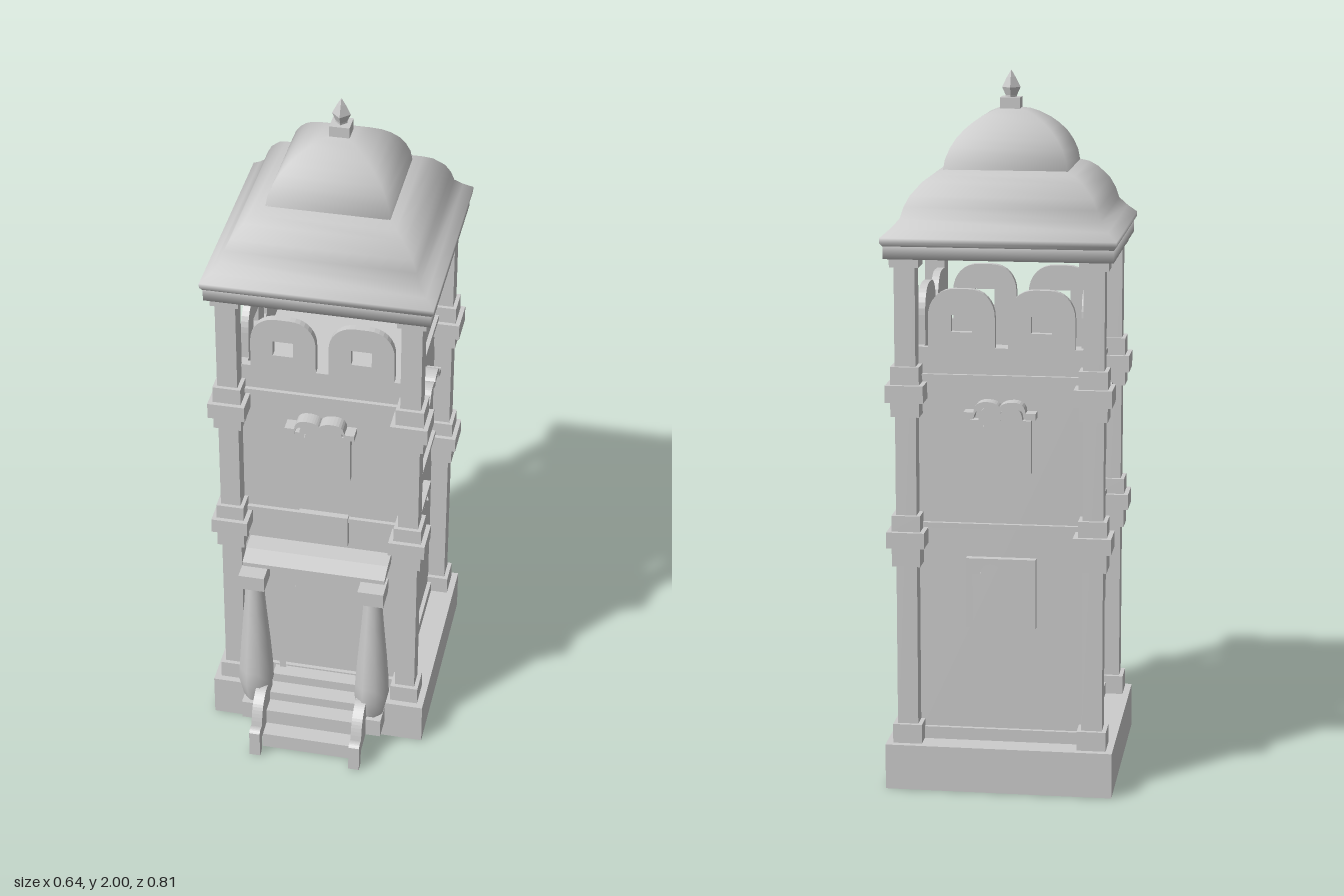
import * as THREE from 'three';

const mat = new THREE.MeshStandardMaterial({ color: 0xcccccc });
const flat = new THREE.MeshStandardMaterial({ color: 0xcccccc, flatShading: true });
const open = new THREE.MeshStandardMaterial({ color: 0xcccccc, side: THREE.DoubleSide });
const V = (x, y) => new THREE.Vector2(x, y);

function add(parent, name, geo, material = mat) {
  const m = new THREE.Mesh(geo, material);
  m.name = name;
  parent.add(m);
  return m;
}

// box given by its centre x, z, half sizes and y range
function block(parent, name, x, z, hx, hz, y0, y1) {
  const m = add(parent, name, new THREE.BoxGeometry(hx * 2, y1 - y0, hz * 2));
  m.position.set(x, (y0 + y1) / 2, z);
  return m;
}

const extrude = (shape, depth) =>
  new THREE.ExtrudeGeometry(shape, { depth, bevelEnabled: false, curveSegments: 8 });

// double-humped arch line from -w to w, springing at s, rising to t
function archLine(w, s, t) {
  const p = new THREE.Path();
  const dip = s + (t - s) * 0.55;
  p.moveTo(-w, s);
  p.lineTo(-0.72 * w, s);
  p.quadraticCurveTo(-0.7 * w, t, -0.38 * w, t);
  p.quadraticCurveTo(-0.1 * w, t, 0, dip);
  p.quadraticCurveTo(0.1 * w, t, 0.38 * w, t);
  p.quadraticCurveTo(0.7 * w, t, 0.72 * w, s);
  p.lineTo(w, s);
  return p.getPoints(6);
}
const archOutline = (w, b, s, t) => [V(-w, b), ...archLine(w, s, t), V(w, b)];
const rect = (w, b, t) => [V(-w, b), V(-w, t), V(w, t), V(w, b)];

// frame standing proud of a wall at z
function frame(parent, name, outer, inner, z, depth) {
  const s = new THREE.Shape(outer);
  s.holes.push(new THREE.Path(inner));
  add(parent, name, extrude(s, depth)).position.z = z;
}

// square-plan lathe from [half width, y] pairs
function squareLathe(parent, name, pts) {
  const g = new THREE.LatheGeometry(pts.map(([r, y]) => V(r * Math.SQRT2, y)), 4);
  return add(parent, name, g.rotateY(Math.PI / 4), open);
}

// parapet panel with two round-topped, pierced merlons
function parapetShape() {
  const s = new THREE.Shape();
  s.moveTo(-0.238, 1.17);
  s.lineTo(0.238, 1.17);
  s.lineTo(0.238, 1.257);
  for (const c of [0.111, -0.111]) {
    s.lineTo(c + 0.093, 1.257);
    s.lineTo(c + 0.093, 1.34);
    s.bezierCurveTo(c + 0.093, 1.39, c + 0.06, 1.42, c + 0.02, 1.42);
    s.lineTo(c - 0.02, 1.42);
    s.bezierCurveTo(c - 0.06, 1.42, c - 0.093, 1.39, c - 0.093, 1.34);
    s.lineTo(c - 0.093, 1.257);
    const h = rect(0.029, 1.3, 1.347).map(p => V(p.x + c, p.y));
    s.holes.push(new THREE.Path(h));
  }
  s.lineTo(-0.238, 1.257);
  return s;
}

function buildTower() {
  const tower = new THREE.Group();
  tower.name = 'tower';

  // hollow base, open underneath
  const base = new THREE.BoxGeometry(0.64, 0.13, 0.64);
  const idx = Array.from(base.index.array);
  idx.splice(18, 6);
  base.setIndex(idx);
  base.clearGroups();
  add(tower, 'base', base, open).position.y = 0.065;

  // shaft and string courses
  block(tower, 'shaft', 0, 0, 0.238, 0.238, 0.13, 1.18);
  block(tower, 'skirting', 0, 0, 0.25, 0.25, 0.13, 0.165);
  block(tower, 'lowerStringCourse', 0, 0, 0.25, 0.25, 0.748, 0.762);
  block(tower, 'upperStringCourse', 0, 0, 0.25, 0.25, 1.168, 1.183);

  // corner pillars with stepped collars: [half width, y0, y1]
  const collars = [
    [0.041, 0.13, 0.185],
    [0.04, 0.645, 0.7], [0.053, 0.7, 0.745], [0.04, 0.745, 0.79],
    [0.04, 1.07, 1.112], [0.053, 1.112, 1.16], [0.04, 1.16, 1.21],
    [0.04, 1.485, 1.512],
  ];
  for (const x of [-0.26, 0.26]) for (const z of [-0.26, 0.26]) {
    block(tower, 'cornerPillar', x, z, 0.029, 0.029, 0.13, 1.54);
    for (const [h, y0, y1] of collars) block(tower, 'pillarCollar', x, z, h, h, y0, y1);
  }

  // four faces: parapet, upper window with hood, lower window (not on the front)
  for (let i = 0; i < 4; i++) {
    const face = new THREE.Group();
    face.name = 'face';
    face.rotation.y = i * Math.PI / 2;
    tower.add(face);
    add(face, 'parapet', extrude(parapetShape(), 0.021)).position.z = 0.217;
    frame(face, 'upperWindowFrame', archOutline(0.085, 0.91, 1.06, 1.095),
      archOutline(0.067, 0.93, 1.04, 1.075), 0.235, 0.025);
    const top = archLine(0.1, 1.085, 1.115);
    const under = top.map(p => V(p.x, p.y - 0.018)).reverse();
    add(face, 'windowHood', extrude(new THREE.Shape([...top, ...under]), 0.045)).position.z = 0.235;
    if (i > 0) frame(face, 'lowerWindowFrame', rect(0.098, 0.465, 0.665),
      archOutline(0.08, 0.485, 0.62, 0.65), 0.235, 0.025);
  }

  // front door and the plaque above it
  frame(tower, 'doorFrame', rect(0.13, 0.13, 0.565), archOutline(0.11, 0.16, 0.48, 0.51), 0.235, 0.022);
  block(tower, 'doorPlaque', 0.005, 0.245, 0.073, 0.012, 0.665, 0.768);

  // eave ring, two-tier roof and finial
  squareLathe(tower, 'eaveRing', [[0.225, 1.51], [0.314, 1.51], [0.314, 1.555], [0.225, 1.555], [0.225, 1.51]]);
  squareLathe(tower, 'lowerRoof', [
    [0.315, 1.545], [0.322, 1.555], [0.322, 1.568], [0.297, 1.59], [0.274, 1.615], [0.265, 1.645],
    [0.25, 1.675], [0.22, 1.71], [0.195, 1.728], [0.165, 1.738],
  ]);
  squareLathe(tower, 'upperDome', [
    [0.172, 1.735], [0.167, 1.765], [0.155, 1.795], [0.14, 1.82], [0.12, 1.843],
    [0.098, 1.862], [0.07, 1.88], [0.045, 1.891], [0, 1.9],
  ]).scale.z = 0.94;
  block(tower, 'finialBlock', 0.004, 0, 0.028, 0.028, 1.885, 1.925);
  const spire = [[0.016, 1.92], [0.016, 1.93], [0.026, 1.952], [0.012, 1.98], [0, 2]];
  add(tower, 'finialSpire', new THREE.LatheGeometry(spire.map(p => V(...p)), 4), flat).position.x = 0.004;
  return tower;
}

function buildPorch() {
  const porch = new THREE.Group();
  porch.name = 'porch';

  // steps: [front z, top y]
  for (const [z, y] of [[0.36, 0.05], [0.31, 0.1], [0.26, 0.13], [0.21, 0.16]]) {
    block(porch, 'step', 0, (z + 0.15) / 2, 0.137, (z - 0.15) / 2, y > 0.13 ? 0.12 : 0, y);
  }

  // sloping canopy slab, drawn in (z, y) and turned across the front
  const slab = new THREE.Shape([V(-0.26, 0.612), V(-0.15, 0.612), V(-0.15, 0.645), V(-0.21, 0.64), V(-0.26, 0.625)]);
  add(porch, 'canopy', extrude(slab, 0.42).rotateY(Math.PI / 2)).position.x = -0.21;
  block(porch, 'canopyBeam', 0, 0.2, 0.2, 0.04, 0.595, 0.613);

  // scrolled side rail profile in (-z, y)
  const rail = new THREE.Shape();
  rail.moveTo(-0.402, 0);
  rail.lineTo(-0.402, 0.085);
  rail.quadraticCurveTo(-0.39, 0.1, -0.37, 0.09);
  rail.quadraticCurveTo(-0.362, 0.15, -0.335, 0.165);
  rail.quadraticCurveTo(-0.31, 0.185, -0.29, 0.18);
  rail.lineTo(-0.23, 0.18);
  rail.lineTo(-0.23, 0.055);
  rail.lineTo(-0.305, 0.055);
  rail.quadraticCurveTo(-0.34, 0.05, -0.37, 0.05);
  rail.lineTo(-0.38, 0);

  const shaft = [[0.03, 0.1], [0.04, 0.125], [0.052, 0.18], [0.051, 0.23], [0.044, 0.33], [0.034, 0.45], [0.026, 0.56]];
  for (const s of [-1, 1]) {
    const g = new THREE.LatheGeometry(shaft.map(p => V(...p)), 8);
    add(porch, 'porchColumn', g.rotateY(Math.PI / 8), open).position.set(s * 0.176, 0, 0.257);
    block(porch, 'columnPedestal', s * 0.176, 0.26, 0.036, 0.044, 0.055, 0.115);
    block(porch, 'columnCapital', s * 0.176, 0.258, 0.038, 0.039, 0.555, 0.603);
    add(porch, 'sideRail', extrude(rail, 0.032).rotateY(Math.PI / 2)).position.x = s * 0.151 - 0.016;
  }
  porch.position.x = -0.006;
  return porch;
}

export function createModel() {
  const model = new THREE.Group();
  model.name = 'watchtower';
  const tower = buildTower();
  tower.position.z = -0.082;
  model.add(tower, buildPorch());
  return model;
}
